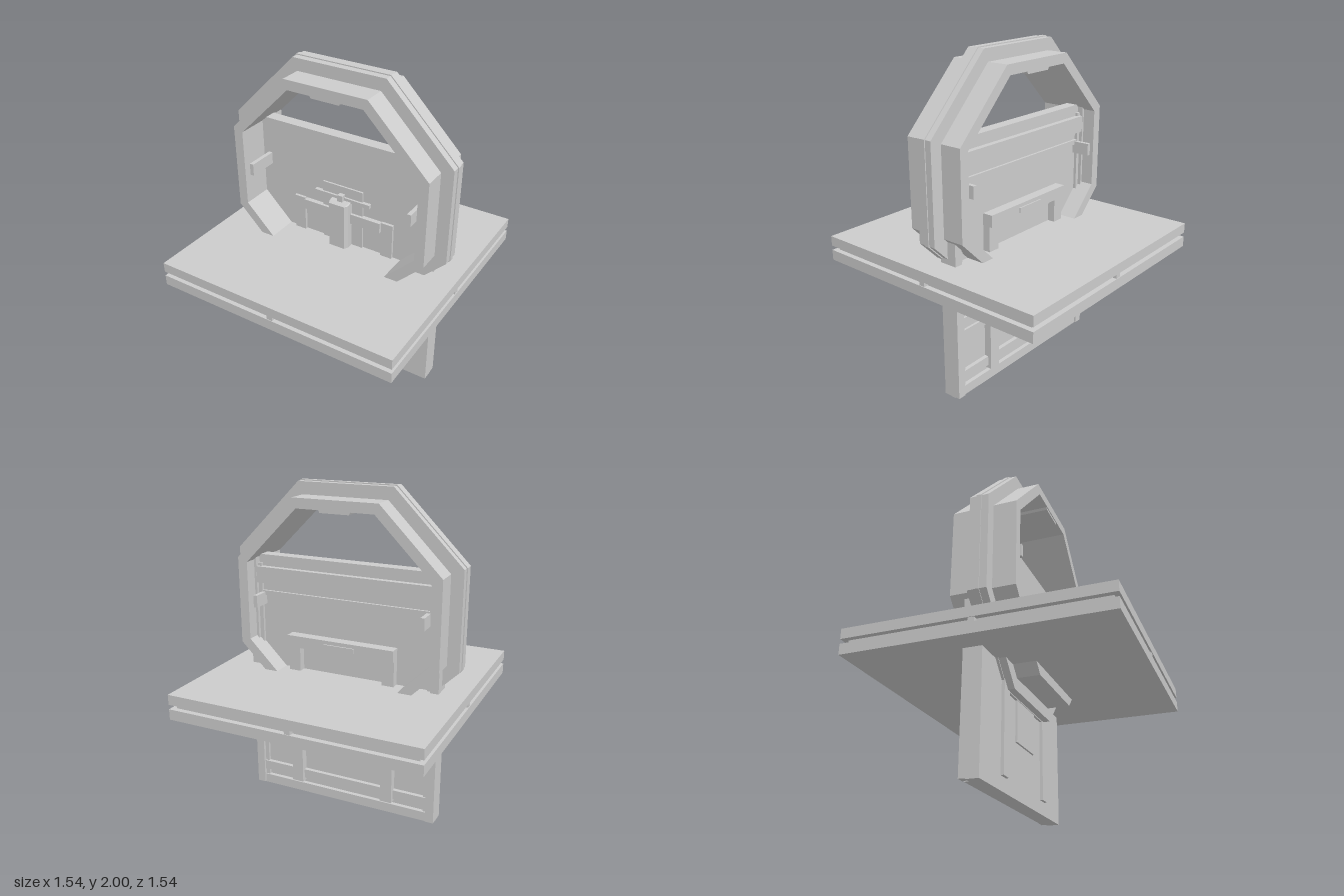
import * as THREE from 'three';

const mat = new THREE.MeshStandardMaterial({ color: 0xcccccc, flatShading: true });
const RING_Y = 1.28;

function add(parent, name, geometry) {
  const mesh = new THREE.Mesh(geometry, mat);
  mesh.name = name;
  parent.add(mesh);
  return mesh;
}

// Box given by its limits on each axis
function box(parent, name, x0, x1, y0, y1, z0, z1) {
  const mesh = add(parent, name, new THREE.BoxGeometry(x1 - x0, y1 - y0, z1 - z0));
  mesh.position.set((x0 + x1) / 2, (y0 + y1) / 2, (z0 + z1) / 2);
  return mesh;
}

// The same box on both sides of x = 0
function pair(parent, name, x0, x1, ...rest) {
  box(parent, name + 'Left', x0, x1, ...rest);
  box(parent, name + 'Right', -x1, -x0, ...rest);
}

function octagon(half) {
  const c = half * 0.415;
  return [[c, half], [half, c], [half, -c], [c, -half], [-c, -half], [-half, -c], [-half, c], [-c, half]]
    .map(([x, y]) => new THREE.Vector2(x, y)).reverse();
}

// Eight-sided frame with an eight-sided opening
function octagonRing(parent, name, outer, inner, z0, z1) {
  const shape = new THREE.Shape(octagon(outer));
  shape.holes.push(new THREE.Path(octagon(inner)));
  const geometry = new THREE.ExtrudeGeometry(shape, { depth: z1 - z0, bevelEnabled: false });
  add(parent, name, geometry).position.set(0, RING_Y, z0);
}

function prism(points, depth) {
  const shape = new THREE.Shape(points.map(([x, y]) => new THREE.Vector2(x, y)));
  return new THREE.ExtrudeGeometry(shape, { depth, bevelEnabled: false });
}

export function createModel() {
  const model = new THREE.Group();
  model.name = 'panelGate';

  // Octagonal frame: deep tube, raised collar and thin ridge
  const frame = new THREE.Group();
  frame.name = 'octagonalFrame';
  model.add(frame);
  octagonRing(frame, 'frameTube', 0.64, 0.58, -0.19, 0.195);
  octagonRing(frame, 'frameCollar', 0.714, 0.62, -0.055, 0.058);
  octagonRing(frame, 'frameRidge', 0.72, 0.7, -0.015, 0.015);
  add(frame, 'topStop', prism([[-0.1, 1.865], [-0.09, 1.845], [0.09, 1.845], [0.1, 1.865]], 0.38)).position.z = -0.19;
  pair(frame, 'sideGuide', 0.52, 0.545, 1.245, 1.32, -0.19, 0.19);

  // Square platform: two slabs around a recessed core
  const platform = new THREE.Group();
  platform.name = 'platform';
  model.add(platform);
  box(platform, 'lowerSlab', -0.772, 0.772, 0.7, 0.765, -0.772, 0.772);
  box(platform, 'upperSlab', -0.772, 0.772, 0.793, 0.855, -0.772, 0.772);
  box(platform, 'core', -0.74, 0.74, 0.76, 0.8, -0.74, 0.74);
  for (let i = 0; i < 4; i++) {
    const side = new THREE.Group();
    side.name = 'edgeLatch';
    side.rotation.y = i * Math.PI / 2;
    box(side, 'latchTab', -0.018, 0.018, 0.763, 0.795, 0.73, 0.768);
    platform.add(side);
  }

  // Sliding panel with frame rails on its back
  const panel = new THREE.Group();
  panel.name = 'slidingPanel';
  model.add(panel);
  box(panel, 'panelSheet', -0.617, 0.617, 0, 1.55, -0.075, 0);
  pair(panel, 'backStile', 0.565, 0.617, 0.005, 1.55, -0.112, -0.07);
  pair(panel, 'stileStep', 0.54, 0.57, 0.03, 1.5, -0.092, -0.07);
  for (const [y0, y1, z] of [[0, 0.06, -0.1], [0.1, 0.16, -0.1], [0.38, 0.42, -0.09], [0.47, 0.5, -0.09],
    [1.3, 1.33, -0.09], [1.38, 1.48, -0.11]]) {
    box(panel, 'backRail', -0.57, 0.57, y0, y1, z, -0.07);
  }

  // Upright strips on both faces and the rear crossbar
  pair(panel, 'frontStrip', 0.27, 0.345, 0.08, 1.083, -0.01, 0.018);
  pair(panel, 'backStrip', 0.27, 0.345, 0.08, 1.083, -0.122, -0.07);
  box(panel, 'backCrossbar', -0.345, 0.345, 1.01, 1.083, -0.14, -0.07);
  box(panel, 'backGrip', -0.1, 0.1, 1.03, 1.06, -0.148, -0.13);

  // Front lock: backplate, bars and bevelled handle
  const lock = new THREE.Group();
  lock.name = 'lock';
  model.add(lock);
  box(lock, 'backplate', -0.138, 0.138, 0.315, 1.24, -0.01, 0.012);
  box(lock, 'upperBar', -0.19, 0.19, 1.152, 1.177, 0, 0.025);
  box(lock, 'crossbar', -0.265, 0.265, 1.015, 1.08, 0, 0.03);
  const handle = prism([[-0.065, 0], [0.065, 0], [0.065, -0.055], [0.052, -0.08], [-0.052, -0.08], [-0.065, -0.055]]
    .reverse(), 0.325);
  handle.rotateX(-Math.PI / 2);
  // Slope the front of the handle's top edge
  const p = handle.attributes.position;
  for (let i = 0; i < p.count; i++) {
    if (p.getY(i) > 0.3 && p.getZ(i) > 0.04) p.setY(i, 0.31);
  }
  handle.computeVertexNormals();
  add(lock, 'handle', handle).position.y = 0.84;
  box(lock, 'handlePin', -0.018, 0.018, 1.15, 1.195, 0.01, 0.045);

  return model;
}
